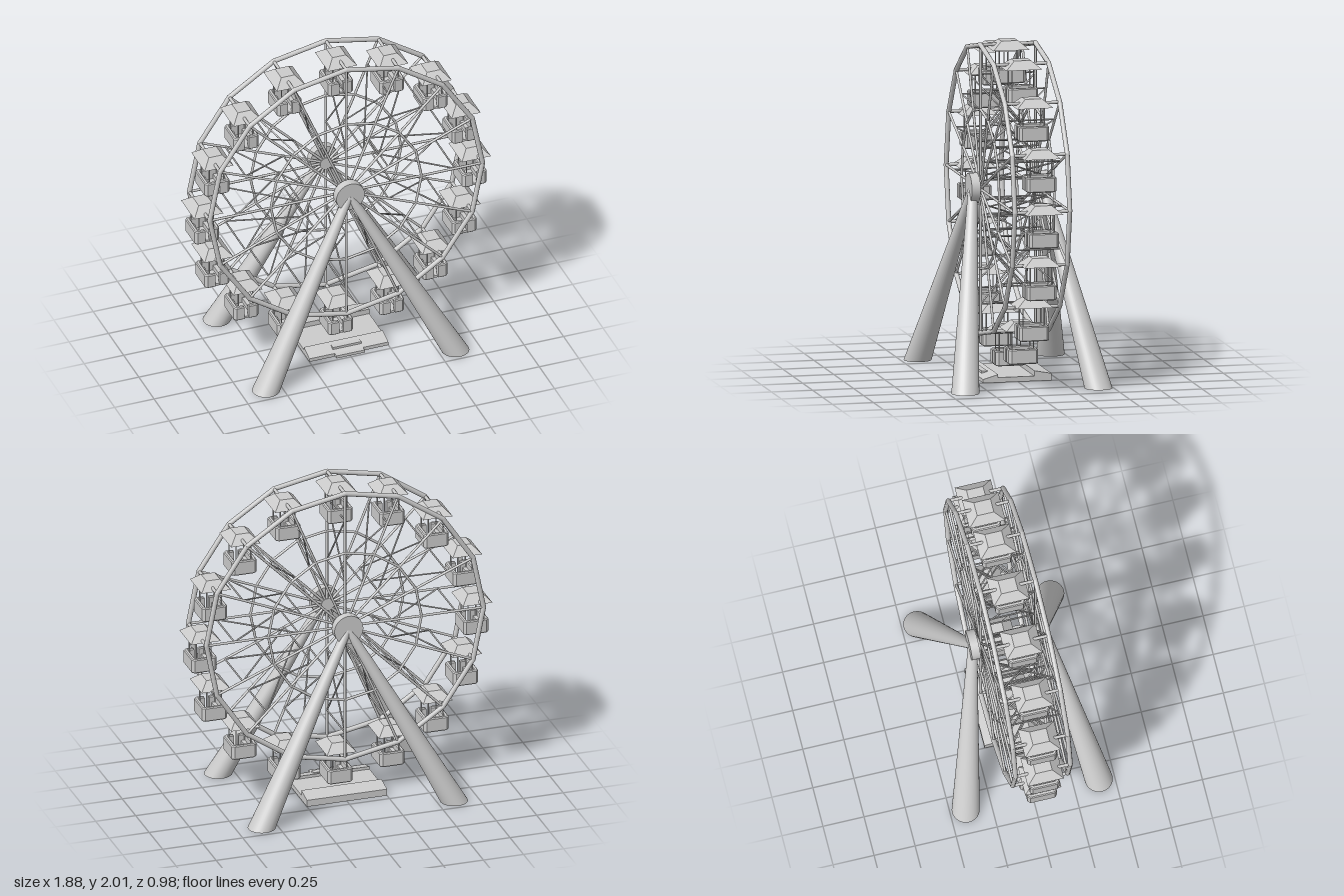
import * as THREE from 'three';

const N = 16, CY = 1.122, R = 0.865, RIM_Z = 0.167;
const smooth = new THREE.MeshStandardMaterial({ color: 0xcccccc });
const flat = new THREE.MeshStandardMaterial({ color: 0xcccccc, flatShading: true, side: THREE.DoubleSide });
const V = (x, y, z) => new THREE.Vector3(x, y, z);

function add(parent, name, geometry, material = smooth) {
  const mesh = new THREE.Mesh(geometry, material);
  mesh.name = name;
  parent.add(mesh);
  return mesh;
}

// Round bar between two points
function bar(parent, name, a, b, r, sides = 8) {
  const d = b.clone().sub(a);
  const m = add(parent, name, new THREE.CylinderGeometry(r, r, d.length(), sides));
  m.position.copy(a).add(b).multiplyScalar(0.5);
  m.quaternion.setFromUnitVectors(V(0, 1, 0), d.normalize());
  return m;
}

// Point on the wheel: spoke index, radius, depth
function onWheel(i, r, z) {
  const a = (i / N) * Math.PI * 2;
  return V(Math.cos(a) * r, CY + Math.sin(a) * r, z);
}

function makeWheel() {
  const wheel = new THREE.Group();
  wheel.name = 'wheel';
  for (let i = 0; i < N; i++) {
    for (const s of [1, -1]) {
      const z = s * RIM_Z;
      bar(wheel, 'rim', onWheel(i, R, z), onWheel(i + 1, R, z), 0.015, 10);
      add(wheel, 'rimJoint', new THREE.SphereGeometry(0.015, 10, 6)).position.copy(onWheel(i, R, z));
      bar(wheel, 'innerRing', onWheel(i, 0.478, z), onWheel(i + 1, 0.478, z), 0.008);
      bar(wheel, 'spoke', onWheel(i, 0.03, z), onWheel(i, R, z), 0.008);
      // diagonal brace joining the two sides
      bar(wheel, 'brace', onWheel(i, 0.29, z), onWheel(i, 0.69, -z), 0.005, 6);
    }
    bar(wheel, 'crossBar', onWheel(i, R, -RIM_Z), onWheel(i, R, RIM_Z), 0.01);
    for (const r of [0.29, 0.69])
      bar(wheel, 'braceBar', onWheel(i, r, -RIM_Z), onWheel(i, r, RIM_Z), 0.005, 6);
  }
  return wheel;
}

// Cabin geometries, hanging below the pivot at the origin
function cabinParts() {
  // tub wall with chamfered corners and a doorway at the front
  const w = 0.072, d = 0.084, c = 0.012, t = 0.014, gap = 0.02;
  const wall = new THREE.Shape([
    [gap, -d], [w - c, -d], [w, -d + c], [w, d - c], [w - c, d], [-w + c, d], [-w, d - c], [-w, -d + c],
    [-w + c, -d], [-gap, -d], [-gap, -d + t], [-w + t, -d + t], [-w + t, d - t], [w - t, d - t],
    [w - t, -d + t], [gap, -d + t],
  ].map(p => new THREE.Vector2(...p)));
  const tub = new THREE.ExtrudeGeometry(wall, {
    depth: 0.078, bevelThickness: 0.006, bevelSize: 0.006, bevelSegments: 1,
  }).rotateX(-Math.PI / 2).translate(0, -0.203, 0);
  // hollow roof with a flat top
  const roof = new THREE.LatheGeometry([[1, 0], [0.46, 0.05], [0, 0.05]].map(p => new THREE.Vector2(...p)), 4)
    .rotateY(Math.PI / 4).scale(0.092 * Math.SQRT2, 1, 0.11 * Math.SQRT2).translate(0, -0.008, 0);
  return {
    tub, roof,
    floor: new THREE.BoxGeometry(0.14, 0.014, 0.164).translate(0, -0.2, 0),
    bench: new THREE.BoxGeometry(0.034, 0.03, 0.14),
  };
}

function makeCabin(parts) {
  const cabin = new THREE.Group();
  cabin.name = 'cabin';
  add(cabin, 'tub', parts.tub, flat);
  add(cabin, 'floor', parts.floor);
  add(cabin, 'roof', parts.roof, flat);
  for (const sx of [1, -1]) {
    add(cabin, 'bench', parts.bench).position.set(sx * 0.045, -0.175, 0);
    for (const sz of [1, -1])
      bar(cabin, 'hanger', V(sx * 0.046, -0.2, sz * 0.065), V(sx * 0.046, 0.022, sz * 0.065), 0.004, 6);
  }
  return cabin;
}

// Leg: tapered column sheared so that its foot lies flat on the ground
function legGeometry(sx, sz) {
  const top = V(0, 1.128, 0.215), foot = V(0.6, 0.005, 0.405);
  const h = top.y - foot.y;
  const g = new THREE.CylinderGeometry(0.027, 0.083, h, 32).translate(0, h / 2, 0);
  const shear = new THREE.Matrix4().set(
    1, -sx * foot.x / h, 0, sx * foot.x,
    0, 1, 0, foot.y,
    0, sz * (top.z - foot.z) / h, 1, sz * foot.z,
    0, 0, 0, 1);
  return g.applyMatrix4(shear);
}

function makeSupports() {
  const supports = new THREE.Group();
  supports.name = 'supports';
  for (const sz of [1, -1]) {
    const hub = add(supports, 'hub', new THREE.CylinderGeometry(0.09, 0.09, 0.053, 32));
    hub.rotation.x = Math.PI / 2;
    hub.position.set(0, 1.13, sz * 0.214);
    bar(supports, 'axleEnd', V(0, CY, sz * 0.155), V(0, CY, sz * 0.2), 0.04, 20);
    for (const sx of [1, -1]) add(supports, 'leg', legGeometry(sx, sz));
  }
  return supports;
}

function makePlatform() {
  const platform = new THREE.Group();
  platform.name = 'platform';
  // side profile (depth, height) with a sunken bay for the lowest cabin
  const profile = new THREE.Shape([
    [0.212, 0], [0.212, 0.022], [0.12, 0.048], [0.12, 0.03], [-0.1, 0.03], [-0.1, 0.062], [-0.205, 0.042], [-0.205, 0],
  ].map(p => new THREE.Vector2(...p)));
  const base = new THREE.ExtrudeGeometry(profile, { depth: 0.5, bevelEnabled: false })
    .translate(0, 0, -0.25).rotateY(-Math.PI / 2);
  add(platform, 'boardingBase', base, flat);
  add(platform, 'lowerStep', new THREE.BoxGeometry(0.18, 0.018, 0.05)).position.set(0, 0.013, 0.216);
  add(platform, 'upperStep', new THREE.BoxGeometry(0.18, 0.014, 0.035)).position.set(0, 0.038, 0.165);
  return platform;
}

export function createModel() {
  const model = new THREE.Group();
  model.name = 'ferrisWheel';
  model.add(makeWheel(), makeSupports(), makePlatform());
  const parts = cabinParts();
  for (let i = 0; i < N; i++) {
    const cabin = makeCabin(parts);
    cabin.position.copy(onWheel(i, 0.848, 0));
    model.add(cabin);
  }
  return model;
}
